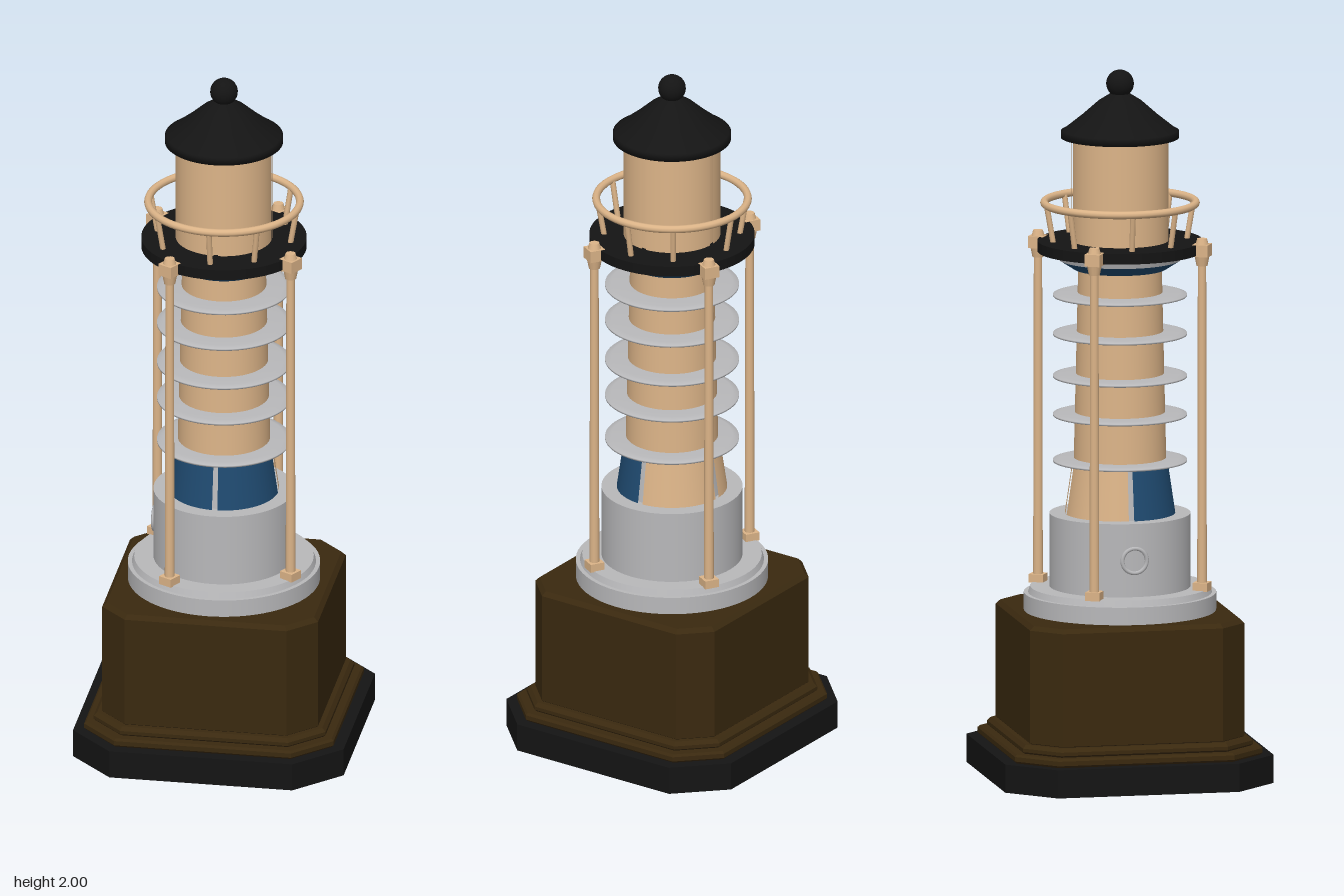
import * as THREE from 'three';

const material = (name, color, side = THREE.FrontSide) => {
  const m = new THREE.MeshStandardMaterial({ color, side });
  m.name = name;
  return m;
};

export function createModel() {
  const model = new THREE.Group();
  model.name = 'lighthouse';
  const black = material('black', 0x141414);
  const brown = material('dark brown', 0x3a290f);
  const white = material('pale grey', 0xb8b8ba);
  const tan = material('tan', 0xdcb488);
  const blue = material('blue', 0x1f4a70);

  const add = (name, geometry, mat, parent = model) => {
    const mesh = new THREE.Mesh(geometry, mat);
    mesh.name = name;
    parent.add(mesh);
    return mesh;
  };

  // Upright cylinder or cone between two heights
  const drum = (name, rBottom, rTop, y0, y1, mat, sides = 64, parent = model) => {
    const mesh = add(name, new THREE.CylinderGeometry(rTop, rBottom, y1 - y0, sides), mat, parent);
    mesh.position.y = (y0 + y1) / 2;
    return mesh;
  };

  // Straight rod between two points
  const rod = (name, a, b, r, mat, parent) =>
    add(name, new THREE.TubeGeometry(new THREE.LineCurve3(a, b), 1, r, 8), mat, parent);

  // Square slab with cut corners and an optional bevelled edge
  const slab = (name, half, cut, y0, y1, mat, bevel = 0) => {
    const h = half - bevel, c = h - cut;
    const shape = new THREE.Shape([
      [h, -c], [h, c], [c, h], [-c, h], [-h, c], [-h, -c], [-c, -h], [c, -h],
    ].map(([x, y]) => new THREE.Vector2(x, y)));
    const geo = new THREE.ExtrudeGeometry(shape, {
      depth: y1 - y0 - 2 * bevel, bevelEnabled: bevel > 0,
      bevelSize: bevel, bevelThickness: bevel, bevelSegments: 1,
    });
    geo.rotateX(-Math.PI / 2).translate(0, y0 + bevel, 0);
    add(name, geo, mat);
  };

  // Four curved wall panels with narrow gaps, starting from the front-left quarter
  const panels = (name, rBottom, rTop, y0, y1, mats) => {
    const gap = 0.05;
    mats.forEach((mat, i) => {
      const geo = new THREE.CylinderGeometry(rTop, rBottom, y1 - y0, 20, 1, true,
        i * Math.PI / 2 + gap, Math.PI / 2 - 2 * gap);
      add(name, geo, mat).position.y = (y0 + y1) / 2;
    });
  };

  // Plinth
  slab('baseSlab', 0.385, 0.125, 0, 0.08, black);
  slab('lowerStep', 0.355, 0.1, 0.08, 0.105, brown, 0.006);
  slab('upperStep', 0.33, 0.085, 0.1, 0.13, brown, 0.01);
  slab('plinthBody', 0.307, 0.07, 0.12, 0.465, brown, 0.012);

  // Round foot and drum
  drum('footRing', 0.27, 0.27, 0.465, 0.515, white);
  drum('footLip', 0.258, 0.252, 0.515, 0.532, white);
  drum('drum', 0.198, 0.198, 0.53, 0.74, white);

  // Small round fitting on the drum's right side
  const port = add('porthole', new THREE.TorusGeometry(0.035, 0.006, 8, 32), white);
  port.rotation.y = Math.PI / 2;
  port.position.set(-0.196, 0.635, 0);

  // Tapered entrance level, blue at the front and tan at the back
  drum('entranceCore', 0.145, 0.125, 0.74, 0.89, white);
  panels('entrancePanel', 0.155, 0.133, 0.74, 0.89, [blue, tan, tan, blue]);

  // Tower shaft with ring fins
  drum('shaft', 0.13, 0.117, 0.88, 1.45, tan);
  for (const y of [0.89, 1.02, 1.13, 1.25, 1.36]) {
    const profile = [[0.1, -0.008], [0.17, -0.006], [0.188, -0.003], [0.188, 0.002], [0.17, 0.007], [0.1, 0.008]];
    add('fin', new THREE.LatheGeometry(profile.map(([r, h]) => new THREE.Vector2(r, h)), 64), white).position.y = y;
  }
  drum('collar', 0.13, 0.172, 1.435, 1.462, blue);
  drum('collarCap', 0.172, 0.18, 1.462, 1.487, white);

  // Gallery deck
  drum('galleryDeck', 0.232, 0.232, 1.485, 1.515, black);

  // Four tall posts with feet and brackets
  for (let i = 0; i < 4; i++) {
    const post = new THREE.Group();
    post.name = 'supportPost';
    drum('postRod', 0.014, 0.012, 0.53, 1.49, tan, 12, post);
    drum('postNeck', 0.016, 0.022, 1.455, 1.485, tan, 12, post);
    drum('postCap', 0.019, 0.014, 1.515, 1.532, tan, 12, post);
    add('postFoot', new THREE.BoxGeometry(0.042, 0.024, 0.042), tan, post).position.y = 0.542;
    add('postBracket', new THREE.BoxGeometry(0.045, 0.034, 0.045), tan, post).position.y = 1.499;
    const a = THREE.MathUtils.degToRad(29.5 + 90 * i);
    post.position.set(0.241 * Math.cos(a), 0, 0.241 * Math.sin(a));
    post.rotation.y = -a;
    model.add(post);
  }

  // Railing with leaning balusters
  const rail = add('handrail', new THREE.TorusGeometry(0.213, 0.011, 10, 64), tan);
  rail.rotation.x = Math.PI / 2;
  rail.position.y = 1.622;
  for (let i = 0; i < 4; i++) {
    for (const offset of [2, 54]) {
      const a = THREE.MathUtils.degToRad(offset + 90 * i);
      const at = (r, y) => new THREE.Vector3(r * Math.cos(a), y, r * Math.sin(a));
      rod('baluster', at(0.19, 1.51), at(0.209, 1.62), 0.008, tan, model);
    }
  }

  // Lantern room
  drum('lanternCore', 0.13, 0.13, 1.51, 1.82, tan);
  panels('lanternPanel', 0.136, 0.136, 1.515, 1.815, [tan, tan, tan, tan]);

  // Roof and finial
  const roof = [[0, 1.808], [0.166, 1.808], [0.166, 1.826], [0.16, 1.828], [0.105, 1.872], [0.06, 1.912], [0.028, 1.932], [0, 1.94]];
  add('roof', new THREE.LatheGeometry(roof.map(([r, y]) => new THREE.Vector2(r, y)), 64), black);
  add('finial', new THREE.SphereGeometry(0.039, 24, 16), black).position.y = 1.961;

  return model;
}
